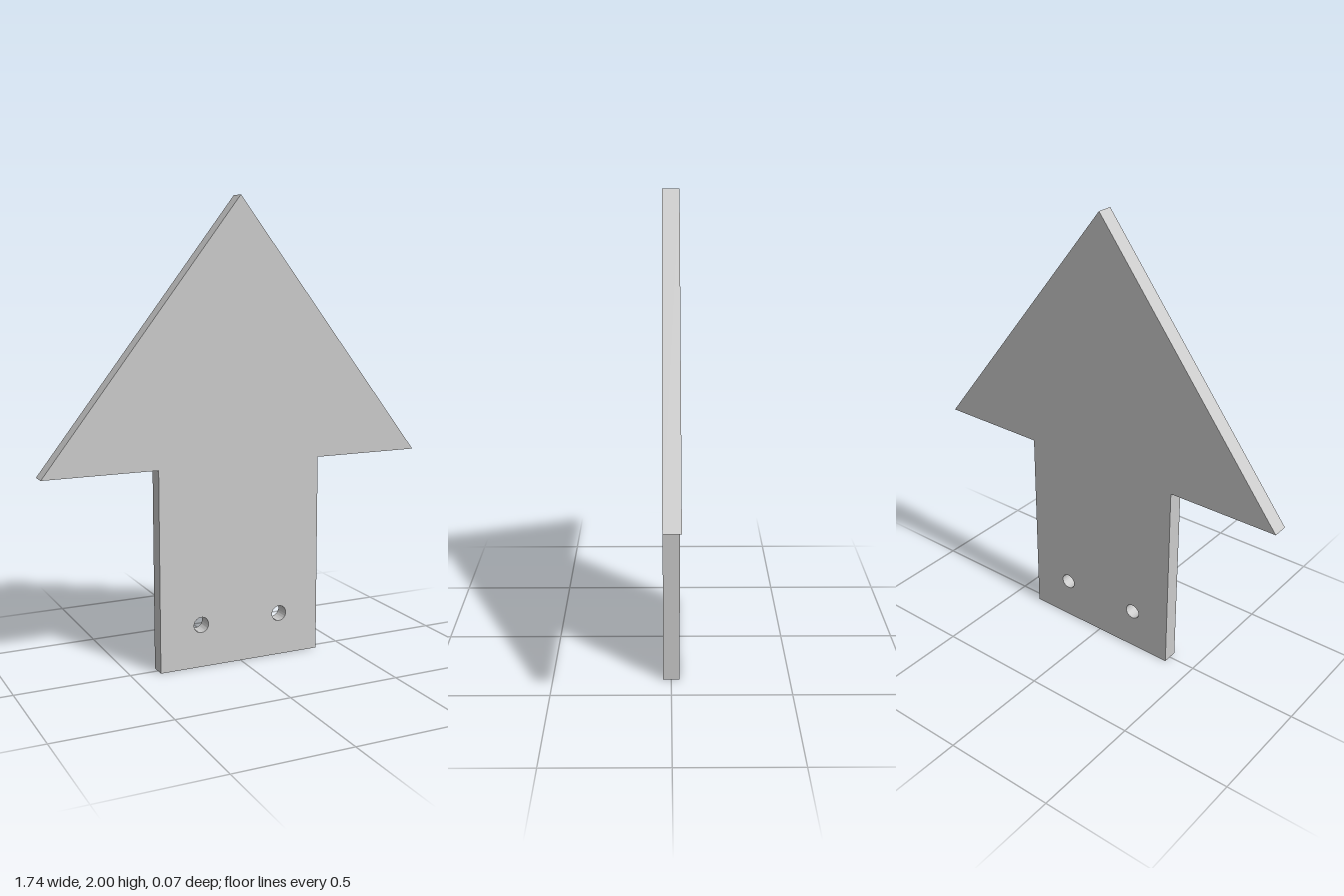
import * as THREE from 'three';
import { toCreasedNormals } from 'three/addons/utils/BufferGeometryUtils.js';

const DEPTH = 0.07;
const SHAFT = 0.375; // half width of the shaft
const HEAD = 0.872;  // half width of the head
const NECK = 0.877;  // height where shaft meets head

export function createModel() {
  const group = new THREE.Group();
  group.name = 'arrowSign';

  // Arrow outline, counter-clockwise from the lower left
  const outline = new THREE.Shape([
    [-SHAFT, 0], [SHAFT, 0], [SHAFT, NECK], [HEAD, NECK],
    [0, 2], [-HEAD, NECK], [-SHAFT, NECK],
  ].map(([x, y]) => new THREE.Vector2(x, y)));

  // Two mounting holes near the foot
  for (const side of [-1, 1]) {
    const hole = new THREE.Path();
    hole.absarc(side * 0.187, 0.188, 0.034, 0, Math.PI * 2, true);
    outline.holes.push(hole);
  }

  // Flat plate with crisp edges and smooth hole walls
  const plate = new THREE.ExtrudeGeometry(outline, {
    depth: DEPTH, bevelEnabled: false, curveSegments: 32,
  });
  plate.translate(0, 0, -DEPTH / 2);
  const mesh = new THREE.Mesh(
    toCreasedNormals(plate, Math.PI / 6),
    new THREE.MeshStandardMaterial({ color: 0xcccccc }),
  );
  mesh.name = 'arrowPlate';
  group.add(mesh);
  return group;
}
